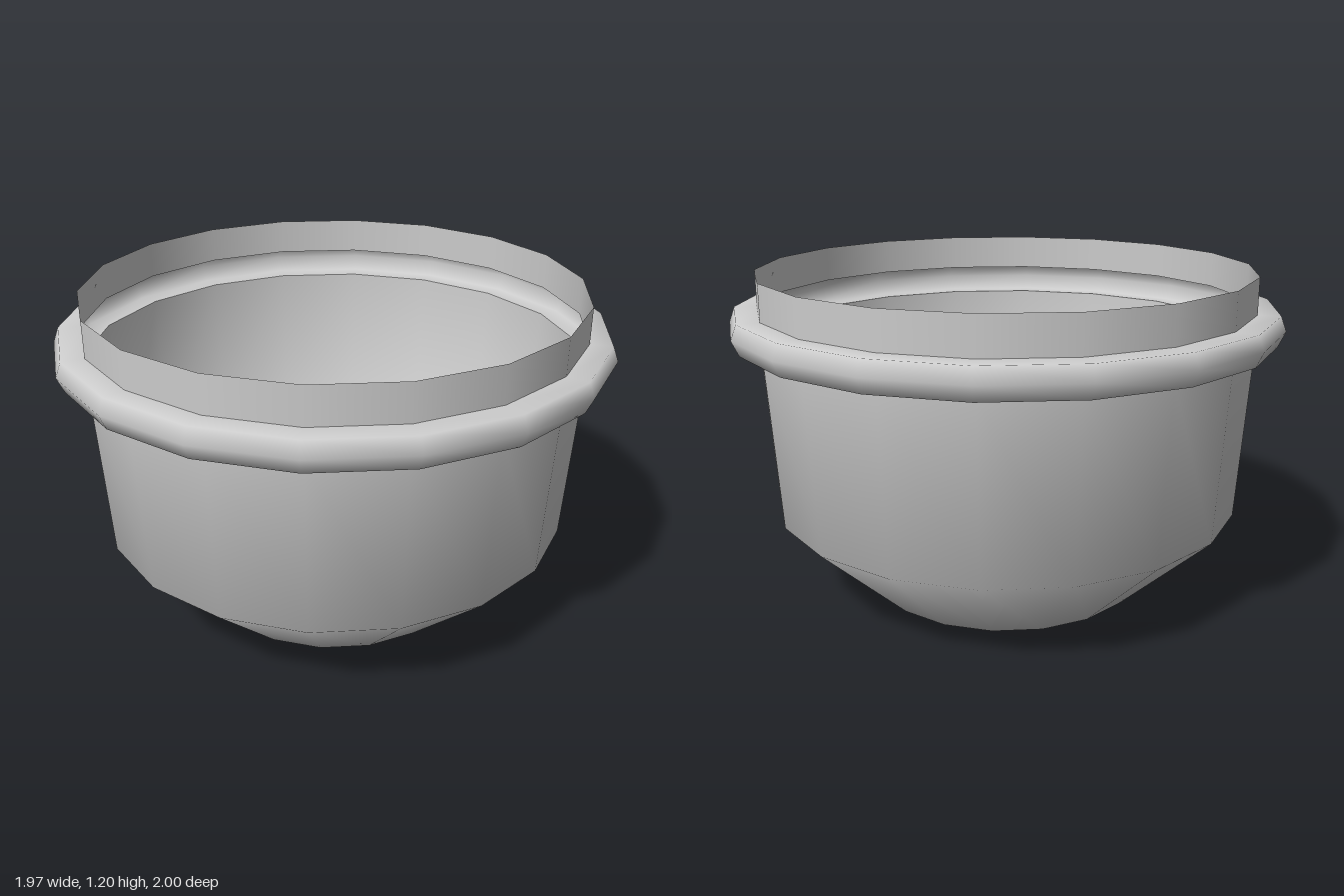
import * as THREE from 'three';

const SIDES = 18;

// Thin-walled part turned around y from [radius, height] points
function turned(name, points) {
  const profile = points.map(([r, y]) => new THREE.Vector2(r, y));
  const material = new THREE.MeshStandardMaterial({ color: 0xcccccc, side: THREE.DoubleSide });
  const mesh = new THREE.Mesh(new THREE.LatheGeometry(profile, SIDES), material);
  mesh.name = name;
  return mesh;
}

export function createModel() {
  const model = new THREE.Group();
  model.name = 'pot';

  // Closed base, sloped lower wall and slightly flared side
  model.add(turned('bowl', [[0, 0], [0.51, 0], [0.86, 0.325], [0.9, 0.96]]));

  // Hollow bead bulging out of the wall
  model.add(turned('rimBead', [[0.9, 0.96], [0.975, 0.96], [1, 1.015], [0.98, 1.068], [0.9, 1.068]]));

  // Straight open collar above the bead
  model.add(turned('collar', [[0.9, 1.068], [0.9, 1.2]]));

  return model;
}
